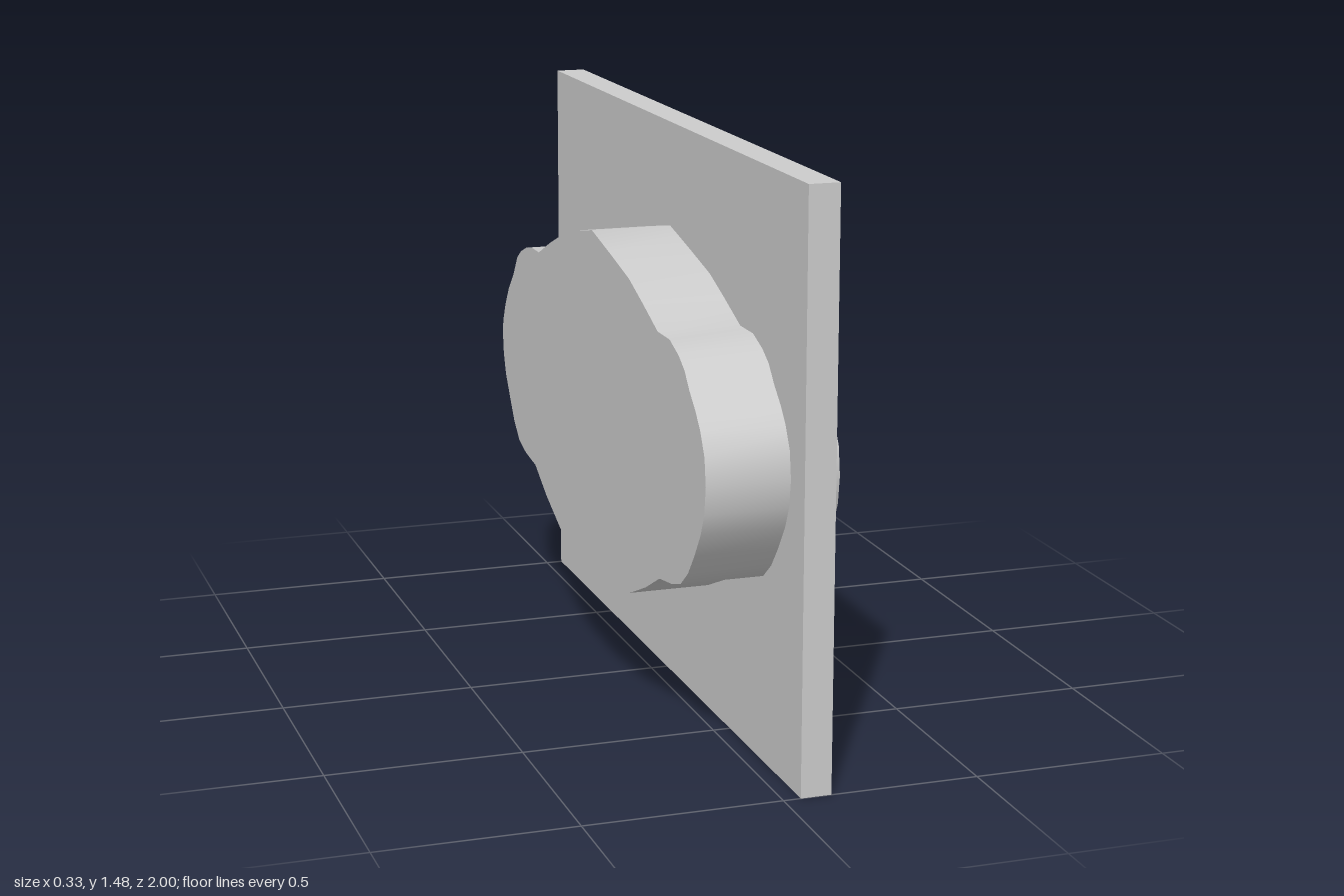
import * as THREE from 'three';
import { toCreasedNormals } from 'three/addons/utils/BufferGeometryUtils.js';

// Scalloped basin outline as [z, y], clockwise seen from +x
const OUTLINE = [
  [0.02, 1.206], [-0.13, 1.178], [-0.25, 1.145], [-0.37, 1.1], [-0.475, 1.055], [-0.54, 1.055], [-0.60, 1.045],
  [-0.655, 1.025], [-0.695, 1.0], [-0.735, 0.945], [-0.79, 0.89], [-0.825, 0.84], [-0.85, 0.79], [-0.858, 0.755],
  [-0.85, 0.69], [-0.83, 0.635], [-0.785, 0.57], [-0.745, 0.515], [-0.695, 0.472], [-0.63, 0.452], [-0.53, 0.44],
  [-0.42, 0.38], [-0.29, 0.325], [-0.13, 0.291], [0.02, 0.281],
  [0.19, 0.293], [0.33, 0.328], [0.46, 0.382], [0.57, 0.438], [0.66, 0.452], [0.73, 0.472], [0.785, 0.515],
  [0.83, 0.57], [0.875, 0.635], [0.9, 0.69], [0.91, 0.76], [0.9, 0.83], [0.87, 0.885], [0.835, 0.925],
  [0.79, 0.965], [0.755, 1.005], [0.71, 1.032], [0.645, 1.055], [0.555, 1.055], [0.44, 1.1], [0.33, 1.14], [0.17, 1.175],
];
const CENTRE = new THREE.Vector2(-0.025, 0.744);

// Extrudes a shape drawn in (-z, y) between two x positions
function slab(name, points, hole, x0, x1, material) {
  const shape = new THREE.Shape(points);
  if (hole) shape.holes.push(new THREE.Path([...hole].reverse()));
  const geometry = new THREE.ExtrudeGeometry(shape, { depth: x1 - x0, bevelEnabled: false });
  geometry.rotateY(Math.PI / 2).translate(x0, 0, 0);
  const mesh = new THREE.Mesh(toCreasedNormals(geometry, 0.5), material);
  mesh.name = name;
  return mesh;
}

export function createModel() {
  const group = new THREE.Group();
  group.name = 'recessedBasin';
  const material = new THREE.MeshStandardMaterial({ color: 0xcccccc });

  // The inside of the wall is the outline scaled about its centre
  const outer = OUTLINE.map(([z, y]) => new THREE.Vector2(-z, y));
  const inner = outer.map((p) => p.clone().sub(CENTRE).multiplyScalar(0.967).add(CENTRE));
  const panel = [[-1, 0], [1, 0], [1, 1.476], [-1, 1.476]].map(([x, y]) => new THREE.Vector2(x, y));

  // Flat panel pierced by the basin, basin wall, and its closed floor
  group.add(slab('panel', panel, outer, 0.044, 0.122, material));
  group.add(slab('basinWall', outer, inner, -0.167, 0.167, material));
  group.add(slab('basinFloor', inner, null, -0.167, -0.11, material));
  return group;
}
